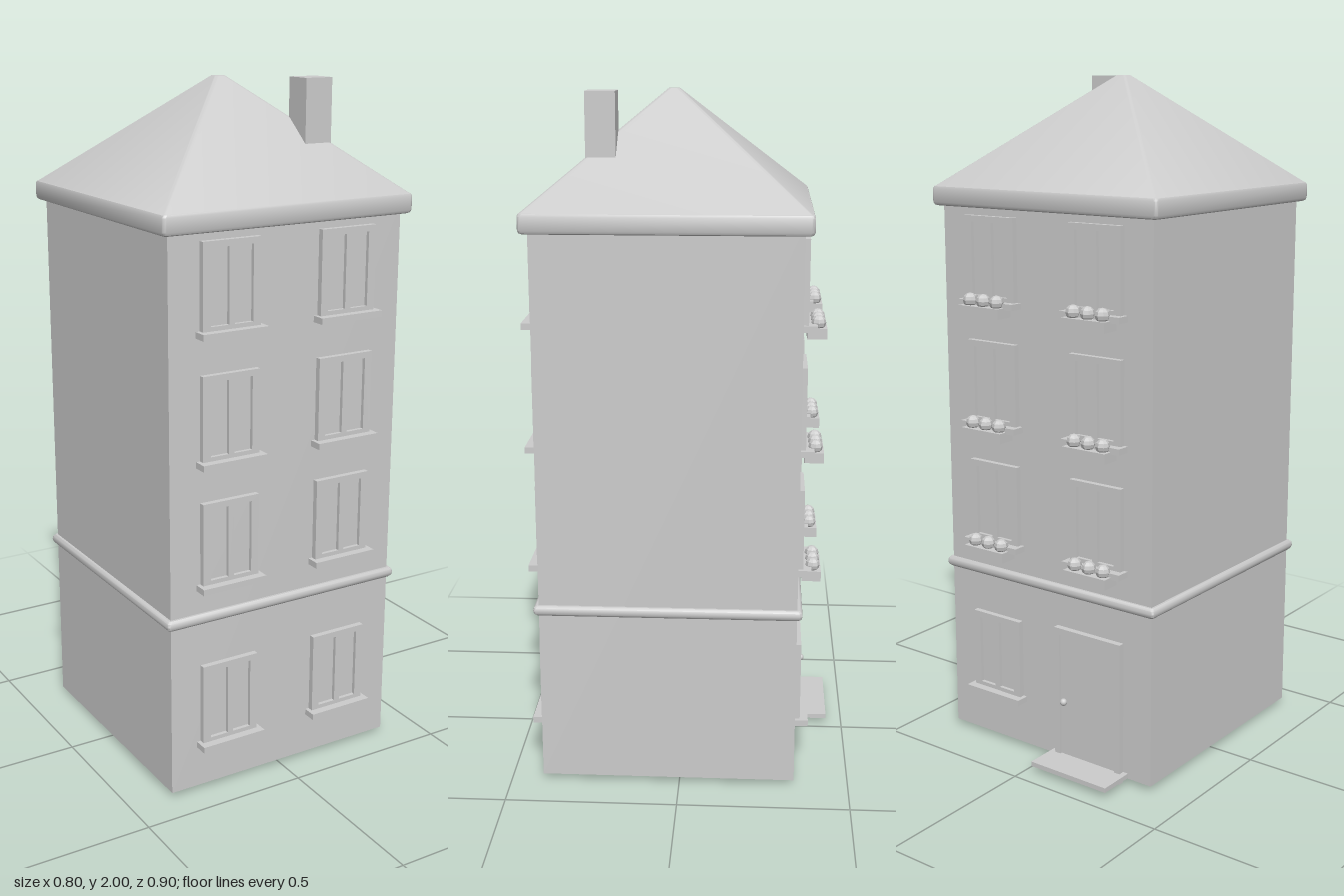
import * as THREE from 'three';
import { toCreasedNormals } from 'three/addons/utils/BufferGeometryUtils.js';

const plaster = new THREE.MeshStandardMaterial({ color: 0xcccccc });
plaster.name = 'pale grey';

const HALF = 0.373; // half width of the walls
const CENTRE_Z = 0.033;

function add(parent, name, geometry, x = 0, y = 0, z = 0) {
  const mesh = new THREE.Mesh(geometry, plaster);
  mesh.name = name;
  mesh.position.set(x, y, z);
  parent.add(mesh);
  return mesh;
}

// Box given by its limits on each axis
function block(parent, name, x0, x1, y0, y1, z0, z1) {
  return add(parent, name, new THREE.BoxGeometry(x1 - x0, y1 - y0, z1 - z0),
    (x0 + x1) / 2, (y0 + y1) / 2, (z0 + z1) / 2);
}

// Square rings with softened corners, stacked along a [half width, y] profile
function squareLoft(profile, radius) {
  const steps = 3, perRing = 4 * (steps + 1);
  const positions = [], index = [];
  for (const [half, y] of profile) {
    const r = Math.min(radius, half * 0.5);
    for (let corner = 0; corner < 4; corner++) {
      const mid = Math.PI / 4 + corner * Math.PI / 2;
      for (let s = 0; s <= steps; s++) {
        const a = mid + (s / steps - 0.5) * Math.PI / 2;
        positions.push(
          Math.sign(Math.cos(mid)) * (half - r) + r * Math.cos(a), y,
          Math.sign(Math.sin(mid)) * (half - r) + r * Math.sin(a));
      }
    }
  }
  for (let j = 0; j < profile.length - 1; j++) {
    for (let i = 0; i < perRing; i++) {
      const a = j * perRing + i, b = j * perRing + (i + 1) % perRing;
      index.push(a, a + perRing, b, b, a + perRing, b + perRing);
    }
  }
  const geometry = new THREE.BufferGeometry();
  geometry.setAttribute('position', new THREE.Float32BufferAttribute(positions, 3));
  geometry.setIndex(index);
  return toCreasedNormals(geometry, 0.6);
}

// Rectangular surround with one or more rectangular openings
function frame(x0, x1, y0, y1, openings, depth) {
  const rect = (Type, a, b, c, d) => {
    const p = new Type();
    p.moveTo(a, c); p.lineTo(b, c); p.lineTo(b, d); p.lineTo(a, d); p.closePath();
    return p;
  };
  const shape = rect(THREE.Shape, x0, x1, y0, y1);
  for (const o of openings) shape.holes.push(rect(THREE.Path, ...o));
  return new THREE.ExtrudeGeometry(shape, { depth, bevelEnabled: false });
}

// Window with its foot on the sill; the wall is the plane z = 0
function makeWindow(parent, x, y, withFlowers) {
  const g = new THREE.Group();
  g.name = 'window';
  g.position.set(x, y, 0);
  parent.add(g);
  const openings = [[-0.066, -0.009, 0.012, 0.222], [0.009, 0.066, 0.012, 0.222]];
  add(g, 'windowFrame', frame(-0.09, 0.09, 0, 0.24, openings, 0.017));
  block(g, 'windowPanes', -0.07, 0.07, 0.005, 0.23, -0.002, 0.006);
  block(g, 'windowSill', -0.102, 0.102, -0.018, 0, -0.005, 0.041);
  if (!withFlowers) return;
  block(g, 'flowerBox', -0.074, 0.074, -0.042, -0.012, 0.013, 0.069);
  const bloom = new THREE.SphereGeometry(0.021, 8, 6).toNonIndexed();
  bloom.computeVertexNormals();
  for (const fx of [-0.05, 0, 0.05]) add(g, 'flower', bloom, fx, 0.002, 0.045);
}

// Door, centred on x, with surround, knob and step
function makeDoor(parent, x) {
  const g = new THREE.Group();
  g.name = 'door';
  g.position.x = x;
  parent.add(g);
  add(g, 'doorFrame', frame(-0.119, 0.119, 0, 0.43, [[-0.1, 0.1, 0.02, 0.41]], 0.019));
  block(g, 'doorLeaf', -0.102, 0.102, 0.015, 0.412, -0.004, 0.012);
  add(g, 'doorKnob', new THREE.SphereGeometry(0.011, 12, 8), -0.08, 0.206, 0.026);
  block(g, 'doorStep', -0.136, 0.136, 0.019, 0.033, -0.004, 0.11);
}

export function createModel() {
  const model = new THREE.Group();
  model.name = 'townHouse';
  const house = new THREE.Group();
  house.name = 'house';
  house.position.z = CENTRE_Z;
  model.add(house);

  // Walls, string course, eaves and roof
  block(house, 'walls', -HALF, HALF, 0.017, 1.66, -HALF, HALF);
  add(house, 'stringCourse', squareLoft([
    [0.36, 0.53], [0.38, 0.53], [0.386, 0.536], [0.388, 0.545],
    [0.386, 0.554], [0.38, 0.56], [0.36, 0.56],
  ], 0.008));
  add(house, 'eaves', squareLoft([
    [0, 1.632], [0.389, 1.632], [0.395, 1.635], [0.398, 1.642],
    [0.398, 1.68], [0.395, 1.687], [0.389, 1.69], [0, 1.69],
  ], 0.01));
  add(house, 'roof', squareLoft([[0.393, 1.688], [0.016, 2], [0, 2]], 0.012));
  block(house, 'chimney', 0.144, 0.23, 1.75, 2, 0.18 - CENTRE_Z, 0.264 - CENTRE_Z);

  // Front and back facades
  const front = new THREE.Group();
  front.name = 'frontFacade';
  front.position.z = HALF;
  const back = new THREE.Group();
  back.name = 'backFacade';
  back.position.z = -HALF;
  back.rotation.y = Math.PI;
  house.add(front, back);

  for (const x of [-0.188, 0.188]) {
    makeWindow(front, x, 0.159, false);
    for (const y of [0.648, 1.009, 1.37]) {
      makeWindow(front, x, y, false);
      makeWindow(back, x, y, true);
    }
  }
  makeWindow(back, -0.188, 0.17, false);
  makeDoor(back, 0.157);

  return model;
}
